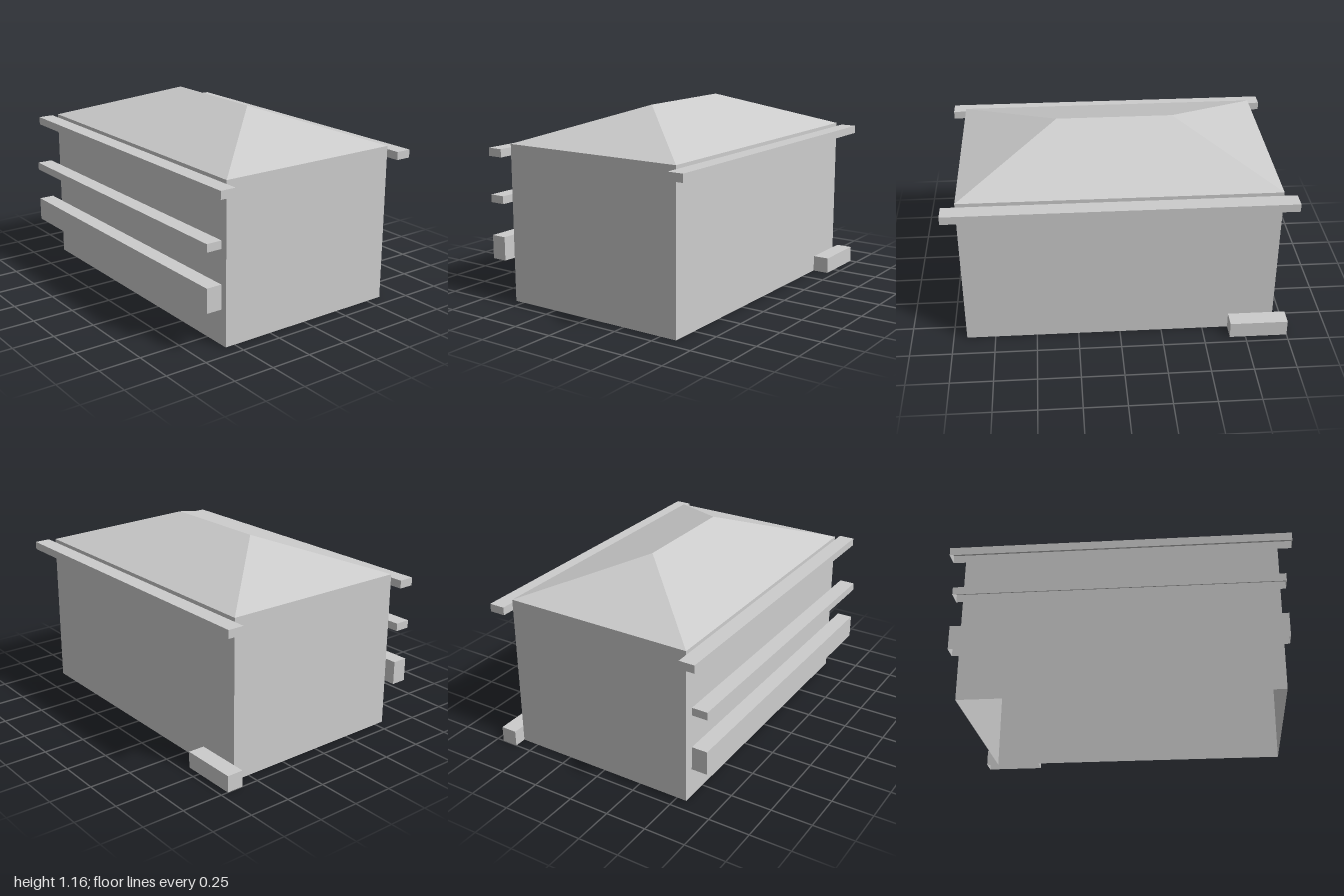
import * as THREE from 'three';

const concrete = new THREE.MeshStandardMaterial({ color: 0xcccccc, side: THREE.DoubleSide });
concrete.name = 'pale grey';

// Box shell given by its extents, open underneath and optionally on top
function shell(name, [x0, x1], [y0, y1], [z0, z1], openTop = false) {
  const geo = new THREE.BoxGeometry(x1 - x0, y1 - y0, z1 - z0);
  const index = Array.from(geo.index.array);
  // face order: +x, -x, +y, -y, +z, -z (six indices each)
  const kept = index.filter((_, i) => {
    const face = Math.floor(i / 6);
    return face !== 3 && !(openTop && face === 2);
  });
  geo.setIndex(kept);
  geo.clearGroups();
  geo.translate((x0 + x1) / 2, (y0 + y1) / 2, (z0 + z1) / 2);
  const mesh = new THREE.Mesh(geo, concrete);
  mesh.name = name;
  return mesh;
}

// Hip roof: four slopes rising from the eaves to a short ridge
function hipRoof([x0, x1], [z0, z1], eave, ridgeY, [r0, r1], ridgeZ) {
  const a = [x0, eave, z1], b = [x1, eave, z1], c = [x1, eave, z0], d = [x0, eave, z0];
  const l = [r0, ridgeY, ridgeZ], r = [r1, ridgeY, ridgeZ];
  const triangles = [a, b, r, a, r, l, b, c, r, c, d, l, c, l, r, d, a, l];
  const geo = new THREE.BufferGeometry();
  geo.setAttribute('position', new THREE.Float32BufferAttribute(triangles.flat(), 3));
  geo.computeVertexNormals();
  const mesh = new THREE.Mesh(geo, concrete);
  mesh.name = 'hipRoof';
  return mesh;
}

export function createModel() {
  const group = new THREE.Group();
  group.name = 'building';
  const wallX = [-0.925, 0.92], wallZ = [-0.605, 0.56];

  group.add(
    shell('walls', wallX, [0, 0.948], wallZ, true),
    hipRoof(wallX, wallZ, 0.948, 1.158, [-0.35, 0.34], -0.025),
    // Ledges under the eaves
    shell('frontEaveLedge', [-1, 1], [0.88, 0.928], [0.562, 0.657]),
    shell('backEaveLedge', [-1, 1], [0.88, 0.928], [-0.705, -0.608]),
    // Bands standing clear of the front wall
    shell('upperFrontBand', [-0.95, 0.947], [0.59, 0.637], [0.611, 0.706]),
    shell('lowerFrontBand', [-0.95, 0.947], [0.247, 0.39], [0.611, 0.706]),
    // Low block at the back corner
    shell('backStep', [-1, -0.655], [0, 0.098], [-0.705, -0.605])
  );
  return group;
}
